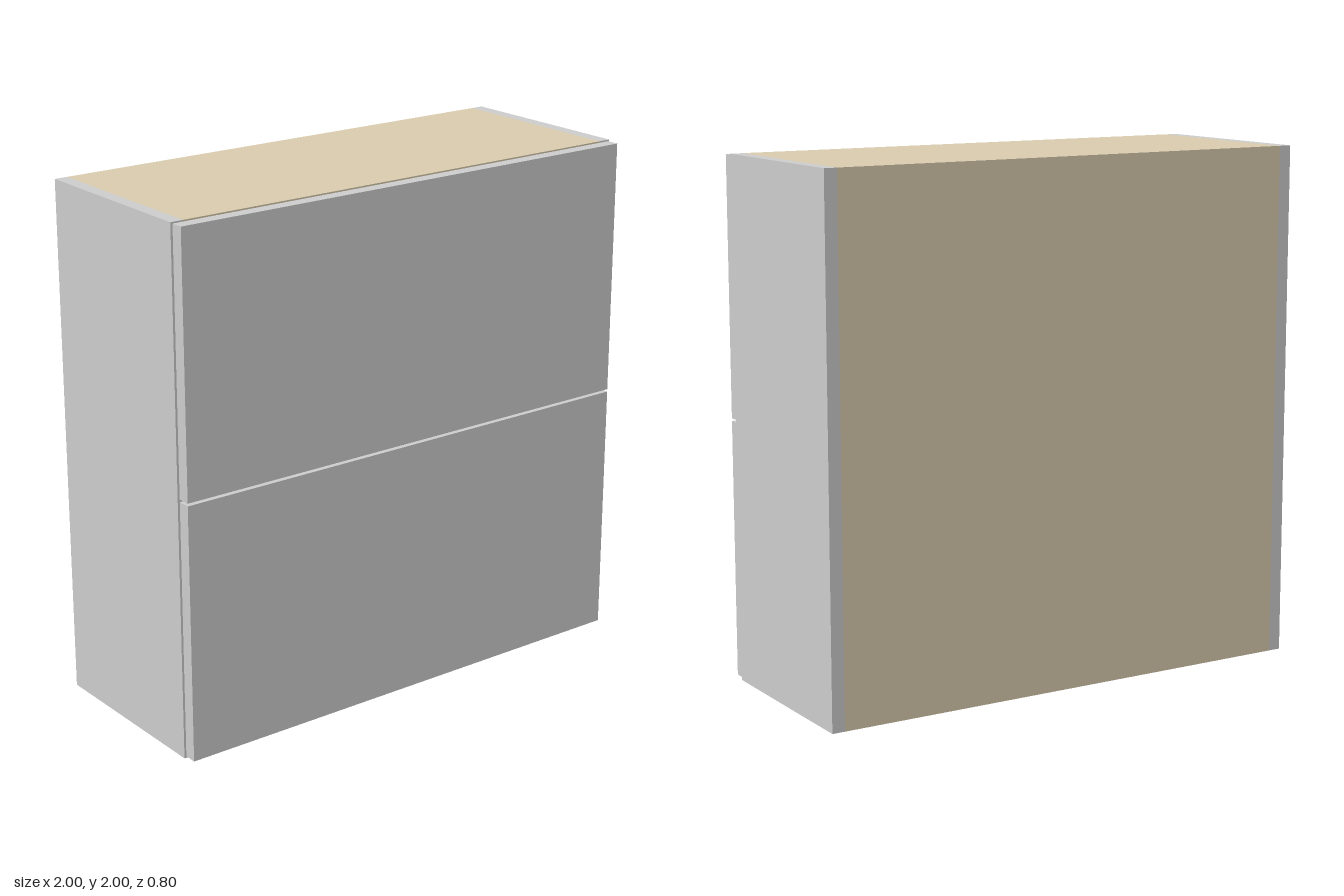
import * as THREE from 'three';

export function createModel() {
  const group = new THREE.Group();
  const grey = new THREE.MeshStandardMaterial({ color: 0xcccccc });
  const wood = new THREE.MeshStandardMaterial({ color: 0xd8cbae });

  // Panel spanning the given min/max ranges
  const panel = (name, material, [x0, x1], [y0, y1], [z0, z1]) => {
    const mesh = new THREE.Mesh(new THREE.BoxGeometry(x1 - x0, y1 - y0, z1 - z0), material);
    mesh.position.set((x0 + x1) / 2, (y0 + y1) / 2, (z0 + z1) / 2);
    mesh.name = name;
    group.add(mesh);
  };

  const t = 0.05; // board thickness
  const back = -0.4, front = 0.348;
  const inner = [-1 + t, 1 - t];

  // Side boards
  panel('leftSide', grey, [1 - t, 1], [0, 2], [back, front]);
  panel('rightSide', grey, [-1, -1 + t], [0, 2], [back, front]);

  // Top, bottom and back boards between the sides
  panel('topBoard', wood, inner, [2 - t, 2], [back, front]);
  panel('bottomBoard', wood, inner, [0, t], [back, front]);
  panel('backBoard', wood, inner, [t, 2 - t], [back, back + t]);

  // Two stacked front panels with narrow reveals
  panel('lowerFront', grey, [-0.993, 0.993], [0.007, 0.997], [0.35, 0.4]);
  panel('upperFront', grey, [-0.993, 0.993], [1.007, 1.995], [0.35, 0.4]);

  return group;
}
